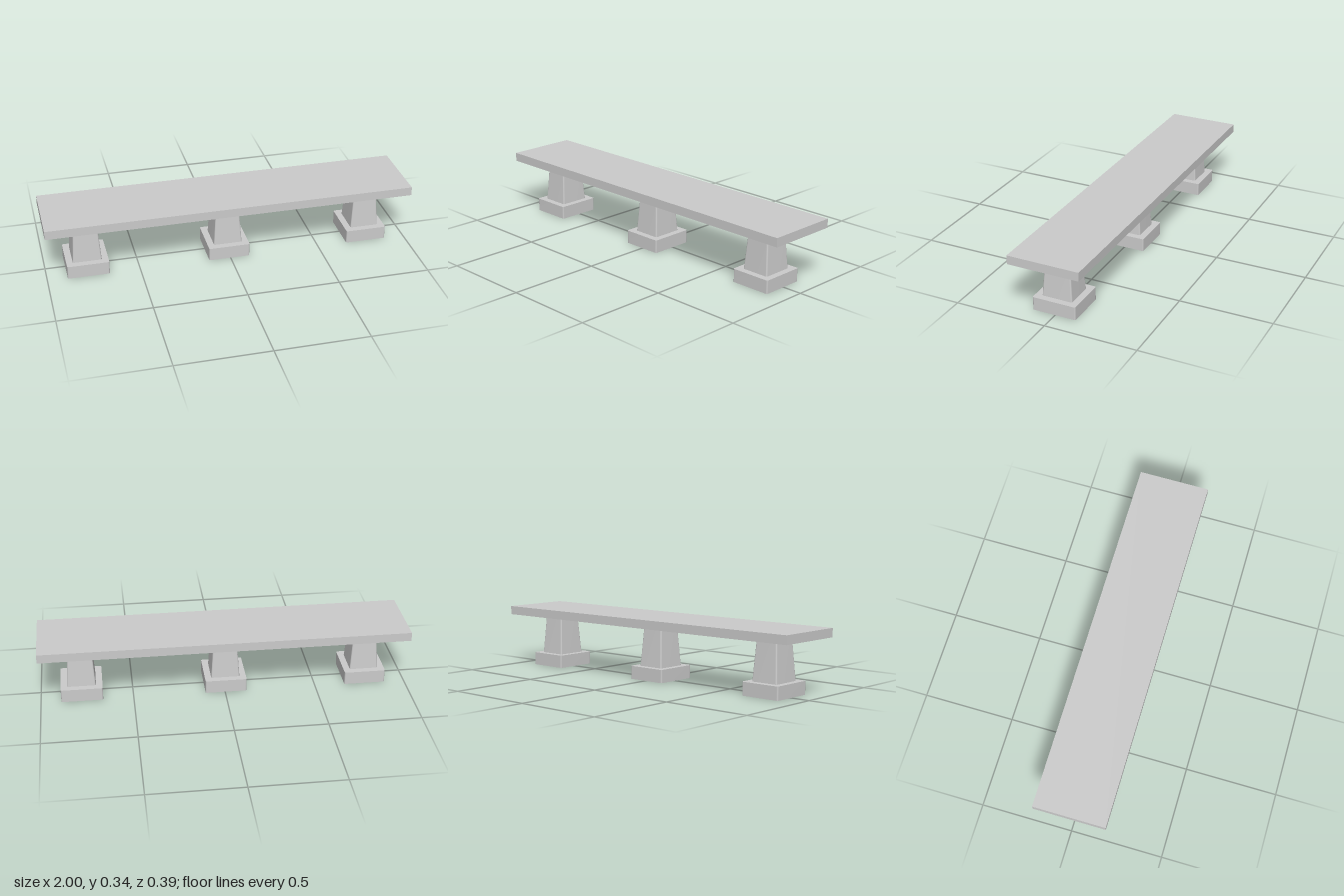
import * as THREE from 'three';

const grey = new THREE.MeshStandardMaterial({ color: 0xcccccc });
const shell = new THREE.MeshStandardMaterial({ color: 0xcccccc, side: THREE.DoubleSide });

// Points of a rectangle with rounded corners at height y
function ring(width, depth, y, radius = 0.008, steps = 3) {
  const points = [];
  for (let corner = 0; corner < 4; corner++) {
    const sx = corner === 0 || corner === 3 ? 1 : -1;
    const sz = corner < 2 ? 1 : -1;
    for (let i = 0; i <= steps; i++) {
      const a = (corner + i / steps) * Math.PI / 2;
      points.push([
        sx * (width / 2 - radius) + radius * Math.cos(a), y,
        sz * (depth / 2 - radius) + radius * Math.sin(a),
      ]);
    }
  }
  return points;
}

// Open band of faces between two rings
function band(name, lower, upper) {
  const n = lower.length;
  const index = [];
  for (let i = 0; i < n; i++) {
    const j = (i + 1) % n;
    index.push(i, n + i, j, j, n + i, n + j);
  }
  const geometry = new THREE.BufferGeometry();
  geometry.setAttribute('position', new THREE.Float32BufferAttribute([...lower, ...upper].flat(), 3));
  geometry.setIndex(index);
  geometry.computeVertexNormals();
  const mesh = new THREE.Mesh(geometry, shell);
  mesh.name = name;
  return mesh;
}

// Hollow pedestal, open underneath: foot, ledge and tapered column
function pedestal(name, x) {
  const group = new THREE.Group();
  group.name = name;
  group.add(
    band('foot', ring(0.226, 0.24, 0), ring(0.226, 0.24, 0.072)),
    band('footLedge', ring(0.226, 0.24, 0.072), ring(0.156, 0.168, 0.072)),
    band('column', ring(0.156, 0.168, 0.072), ring(0.126, 0.136, 0.297)),
  );
  group.position.set(x, 0, 0.007);
  return group;
}

export function createModel() {
  const bench = new THREE.Group();
  bench.name = 'bench';

  // Seat slab
  const seat = new THREE.Mesh(new THREE.BoxGeometry(2, 0.048, 0.392), grey);
  seat.name = 'seat';
  seat.position.y = 0.321;
  bench.add(seat);

  // Three pedestals
  bench.add(pedestal('rightPedestal', -0.778), pedestal('middlePedestal', -0.006), pedestal('leftPedestal', 0.778));
  return bench;
}
